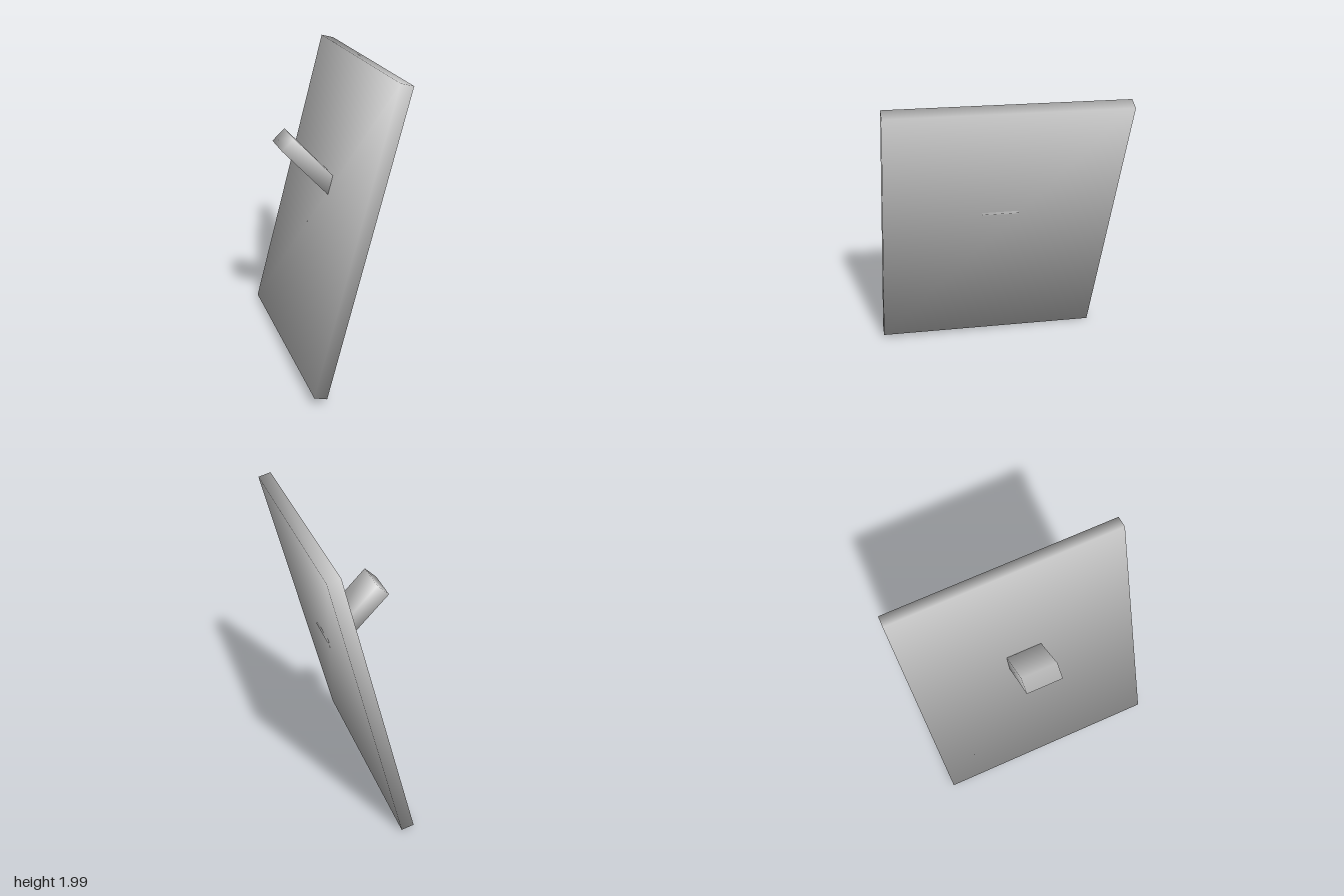
import * as THREE from 'three';

const material = new THREE.MeshStandardMaterial({ color: 0xcccccc });

// Box whose corner normals are shared by all three faces, for soft shading.
function softBox(name, width, height, depth) {
  const geometry = new THREE.BoxGeometry(width, height, depth);
  const { position, normal } = geometry.attributes;
  const n = new THREE.Vector3();
  for (let i = 0; i < position.count; i++) {
    n.set(
      Math.sign(position.getX(i)),
      Math.sign(position.getY(i)),
      Math.sign(position.getZ(i))
    ).normalize();
    normal.setXYZ(i, n.x, n.y, n.z);
  }
  const mesh = new THREE.Mesh(geometry, material);
  mesh.name = name;
  return mesh;
}

export function createModel() {
  const model = new THREE.Group();
  model.name = 'tiltedPanel';

  // Everything is built in the panel's own frame: x thickness, y height, z width.
  const assembly = new THREE.Group();
  assembly.name = 'panelAssembly';

  const panel = softBox('panel', 0.085, 1.994, 1.493);

  // Slanted block that passes through the panel, its tip just breaking the far face.
  const handle = softBox('handle', 0.48, 0.11, 0.237);
  handle.position.set(-0.179, 0.265, 0);
  handle.rotation.z = -0.56;
  assembly.add(panel, handle);

  // Lean and turn the whole assembly about its centre.
  const up = new THREE.Vector3(0.245, 0.967, -0.103).normalize();
  const across = new THREE.Vector3(0.275, 0.033, 0.961).normalize();
  const out = new THREE.Vector3().crossVectors(up, across).normalize();
  across.crossVectors(out, up);
  assembly.quaternion.setFromRotationMatrix(new THREE.Matrix4().makeBasis(out, up, across));
  assembly.position.y = 1;

  model.add(assembly);
  return model;
}
